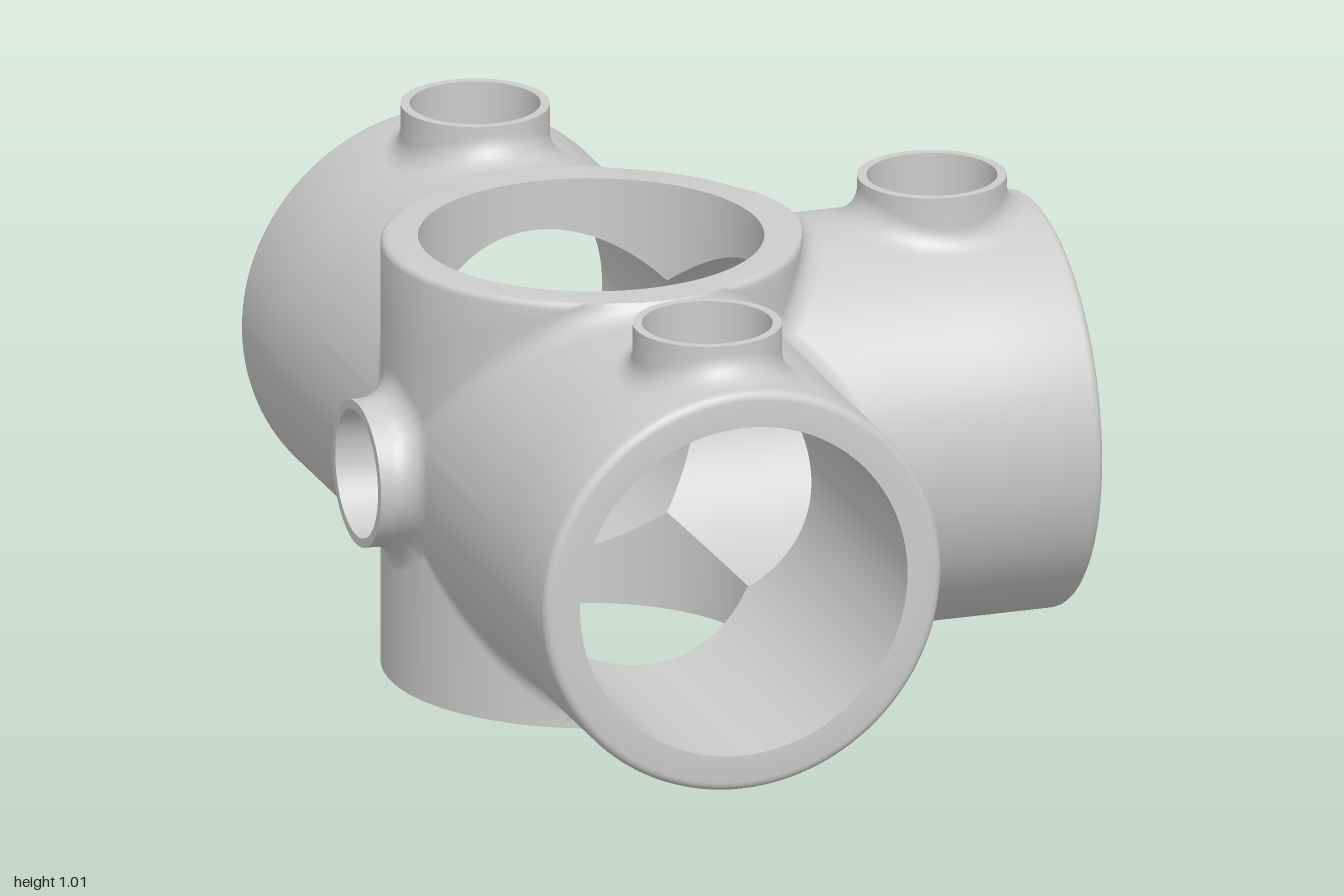
import * as THREE from 'three';
import { toCreasedNormals } from 'three/addons/utils/BufferGeometryUtils.js';

const V = (x, y, z) => new THREE.Vector3(x, y, z);
const X = V(1, 0, 0), Y = V(0, 1, 0), Z = V(0, 0, 1);
const R = 0.45, r = 0.37;          // pipe outer and bore radius
const F = 0.06;                    // concave fillet radius
const BOSS_R = 0.16, HOLE_R = 0.14, BOSS_TOP = 0.53;
const CUT_R = 0.18;                // opening left in the pipe skin under a boss

// The five half pipes: direction, length, edge rounding, boss position
const ARMS = [
  { name: 'frontPipe', d: Z.clone(), L: 1, q: 0.02, boss: 0.76 },
  { name: 'backPipe', d: V(0, 0, -1), L: 1, q: 0.02, boss: 0.76 },
  { name: 'leftPipe', d: X.clone(), L: 1.005, q: 0.02, boss: 0.77 },
  { name: 'upperPipe', d: Y.clone(), L: 0.48, q: 0.015 },
  { name: 'lowerPipe', d: V(0, -1, 0), L: 0.48, q: 0 },
];

const mix = (...terms) => {
  const out = V(0, 0, 0);
  for (const [v, k] of terms) out.addScaledVector(v, k);
  return out;
};
const chord = (h, t) => (Math.abs(t) < h ? Math.sqrt(h * h - t * t) : 0);

// Skin between neighbouring columns of points; rows in `gaps` stay open
function skin(columns, gaps = []) {
  const pos = [];
  const tri = (a, b, c) => {
    const area = b.clone().sub(a).cross(c.clone().sub(a)).length();
    if (area > 1e-9) for (const p of [a, b, c]) pos.push(p.x, p.y, p.z);
  };
  columns.forEach((col, i) => {
    const next = columns[(i + 1) % columns.length];
    for (let j = 0; j < col.length - 1; j++) {
      if (gaps.includes(j)) continue;
      tri(col[j], col[j + 1], next[j]);
      tri(next[j], col[j + 1], next[j + 1]);
    }
  });
  const geo = new THREE.BufferGeometry();
  geo.setAttribute('position', new THREE.Float32BufferAttribute(pos, 3));
  geo.scale(100, 100, 100); // keeps close vertices apart while smoothing
  return toCreasedNormals(geo, 0.6).scale(0.01, 0.01, 0.01);
}

function pipe({ d, L, q, boss }) {
  const p = (Math.abs(d.y) > 0.5 ? X : Y).clone();
  const t = d.clone().cross(p);
  const others = ARMS.map(a => a.d).filter(e => Math.abs(e.dot(d)) < 0.5);
  const radial = a => mix([p, Math.cos(a)], [t, Math.sin(a)]);

  // Angles around the pipe, denser across the boss openings
  let angles = [];
  for (let i = 0; i < 128; i++) angles.push(i / 128 * Math.PI * 2);
  if (boss) {
    for (const s of [CUT_R / R, HOLE_R / r]) {
      for (let k = -8; k <= 8; k++) {
        const a = Math.asin(s * Math.sin(k / 16 * Math.PI));
        angles.push((a + Math.PI * 2) % (Math.PI * 2));
      }
    }
  }
  angles = angles.sort((a, b) => a - b).filter((a, i, all) => !i || a - all[i - 1] > 1e-4);

  const columns = [];
  for (const a of angles) {
    const u = radial(a), before = radial(a - 0.01);
    const near = others.slice().sort((e, f) => f.dot(u) - e.dot(u));
    const c = Math.max(0, near[0].dot(u));
    const mid = e => u.clone().multiplyScalar(2).add(mix([d, c], [e, -c])).normalize();
    // Where three pipes meet, fan out over the corner of the fillets
    let targets = [mid(near[0])];
    if (c > 0.5 && Math.abs(near[1].dot(u) - c) < 1e-6) {
      const [e1, e2] = near.slice(0, 2).sort((e, f) => f.dot(before) - e.dot(before));
      targets = [mid(e1), mix([d, 1], [e1, 1], [e2, 1]).normalize(), mid(e2)];
    }
    const at = (rad, s) => mix([u, rad], [d, s]);
    const opening = (h, rad) => (boss && u.y > 0 ? chord(h, rad * u.dot(t)) : 0);

    for (const n1 of targets) {
      // Bore, open under the boss
      const b0 = r * c, bm = boss ?? (b0 + L) / 2, bw = opening(HOLE_R, r);
      const col = [at(r, b0), at(r, bm - bw), at(r, bm + bw), at(r, L)];
      // Rounded end
      const tangent = (R + F) * c;
      const side = u.x < 0 ? chord(CUT_R, R * u.dot(d.clone().cross(X))) : 0;
      const start = Math.min(L, Math.max(tangent, side));
      const round = Math.min(q, L - start);
      for (let k = 0; k <= 4; k++) {
        const f = k / 8 * Math.PI;
        col.push(at(R - round * (1 - Math.sin(f)), L - round * (1 - Math.cos(f))));
      }
      // Outer wall
      const om = boss ?? (start + L - round) / 2, ow = opening(CUT_R, R);
      col.push(at(R, om + ow), at(R, om - ow), at(R, start));
      // Half of the fillet, down to the seam with the next pipe
      for (let k = 1; k <= 8; k++) {
        if (side > tangent) { col.push(at(R, start)); continue; }
        const n = mix([u, 1 - k / 8], [n1, k / 8]).normalize();
        const pt = mix([u, R + F], [d, tangent], [n, -F]);
        const over = pt.dot(d) - L;
        if (over > 0) pt.addScaledVector(d, -over);
        col.push(pt);
      }
      columns.push(col);
    }
  }
  return skin(columns, boss ? [1, 9] : []);
}

// Hollow boss along e on a pipe; t runs across that pipe
function bossGeometry(e, t, onCrossing) {
  const w = e.clone().cross(t), columns = [];
  for (let i = 0; i < 64; i++) {
    const a = i / 64 * Math.PI * 2;
    const dir = mix([t, Math.cos(a)], [w, Math.sin(a)]);
    const axis = onCrossing && Math.abs(Math.sin(a)) < Math.abs(Math.cos(a)) ? w : t;
    const across = dir.dot(axis);
    const at = (rad, h) => mix([dir, rad], [e, h]);
    const col = [
      at(HOLE_R, Math.sqrt(r * r - (HOLE_R * across) ** 2)),
      at(HOLE_R, BOSS_TOP), at(BOSS_R, BOSS_TOP),
    ];
    // Fillet from the boss wall to the pipe
    const ball = BOSS_R + F, m = ball * across;
    const H = Math.sqrt((R + F) ** 2 - m * m);
    const n2 = mix([axis, m], [e, H]).normalize();
    for (let k = 0; k <= 8; k++) {
      const n = mix([dir, 1 - k / 8], [n2, k / 8]).normalize();
      col.push(at(ball, H).addScaledVector(n, -F));
    }
    columns.push(col);
  }
  return skin(columns);
}

export function createModel() {
  const group = new THREE.Group();
  group.name = 'pipeFitting';
  const material = new THREE.MeshStandardMaterial({ color: 0xcccccc });
  const add = (name, geometry) => {
    const mesh = new THREE.Mesh(geometry, material);
    mesh.name = name;
    mesh.position.set(-0.24, 0.48, 0);
    group.add(mesh);
    return mesh;
  };
  for (const arm of ARMS) {
    add(arm.name, pipe(arm));
    if (arm.boss) {
      const boss = add(arm.name + 'Boss', bossGeometry(Y, arm.d.clone().cross(Y), false));
      boss.position.addScaledVector(arm.d, arm.boss);
    }
  }
  // Boss on the closed side of the crossing
  add('sideBoss', bossGeometry(V(-1, 0, 0), Y, true));
  return group;
}
